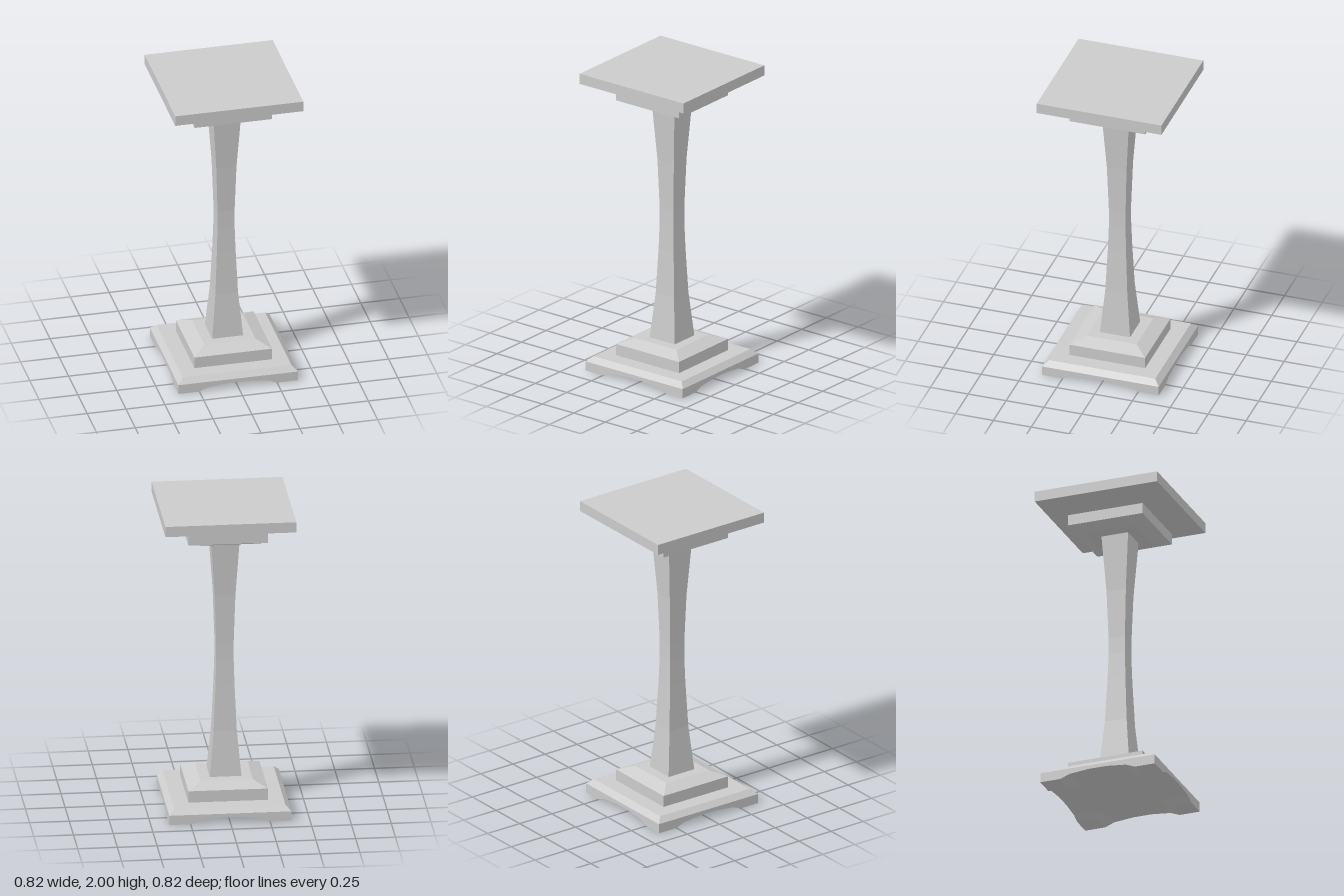
import * as THREE from 'three';

const material = new THREE.MeshStandardMaterial({ color: 0xcccccc, flatShading: true });

// Square-plan solid from [half width, height] pairs, listed bottom to top
function squareTurned(name, profile) {
  const points = profile.map(([half, y]) => new THREE.Vector2(half * Math.SQRT2, y));
  const mesh = new THREE.Mesh(new THREE.LatheGeometry(points, 4, Math.PI / 4), material);
  mesh.name = name;
  return mesh;
}

// Foot slab whose underside is arched along both axes, leaving four corner feet
function footSlab(half, height) {
  const stations = [-half, -0.25, -0.19, -0.06, 0.06, 0.19, 0.25, half];
  const rise = [0, 0, 0.024, 0.037, 0.037, 0.024, 0, 0];
  const n = stations.length - 1;
  const geometry = new THREE.BoxGeometry(n, 1, n, n, 1, n);
  const pos = geometry.attributes.position;
  for (let i = 0; i < pos.count; i++) {
    const a = Math.round(pos.getX(i) + n / 2);
    const b = Math.round(pos.getZ(i) + n / 2);
    const y = pos.getY(i) > 0 ? height : Math.max(rise[a], rise[b]);
    pos.setXYZ(i, stations[a], y, stations[b]);
  }
  geometry.computeVertexNormals();
  const mesh = new THREE.Mesh(geometry, material);
  mesh.name = 'footSlab';
  return mesh;
}

export function createModel() {
  const model = new THREE.Group();
  model.name = 'pedestal';
  model.add(
    footSlab(0.385, 0.062),
    // Bevelled steps of the base
    squareTurned('baseSteps', [
      [0.385, 0.062], [0.35, 0.095], [0.25, 0.095], [0.25, 0.17], [0.165, 0.205], [0, 0.205],
    ]),
    // Shaft with a narrow waist
    squareTurned('shaft', [
      [0.1, 0.2], [0.073, 0.5], [0.06, 0.8], [0.055, 0.97], [0.055, 1.08], [0.065, 1.4], [0.09, 1.78],
    ]),
    // Stepped capital and flat top
    squareTurned('capital', [
      [0, 1.775], [0.165, 1.775], [0.25, 1.81], [0.25, 1.88], [0.412, 1.932], [0.412, 2], [0, 2],
    ]),
  );
  return model;
}
